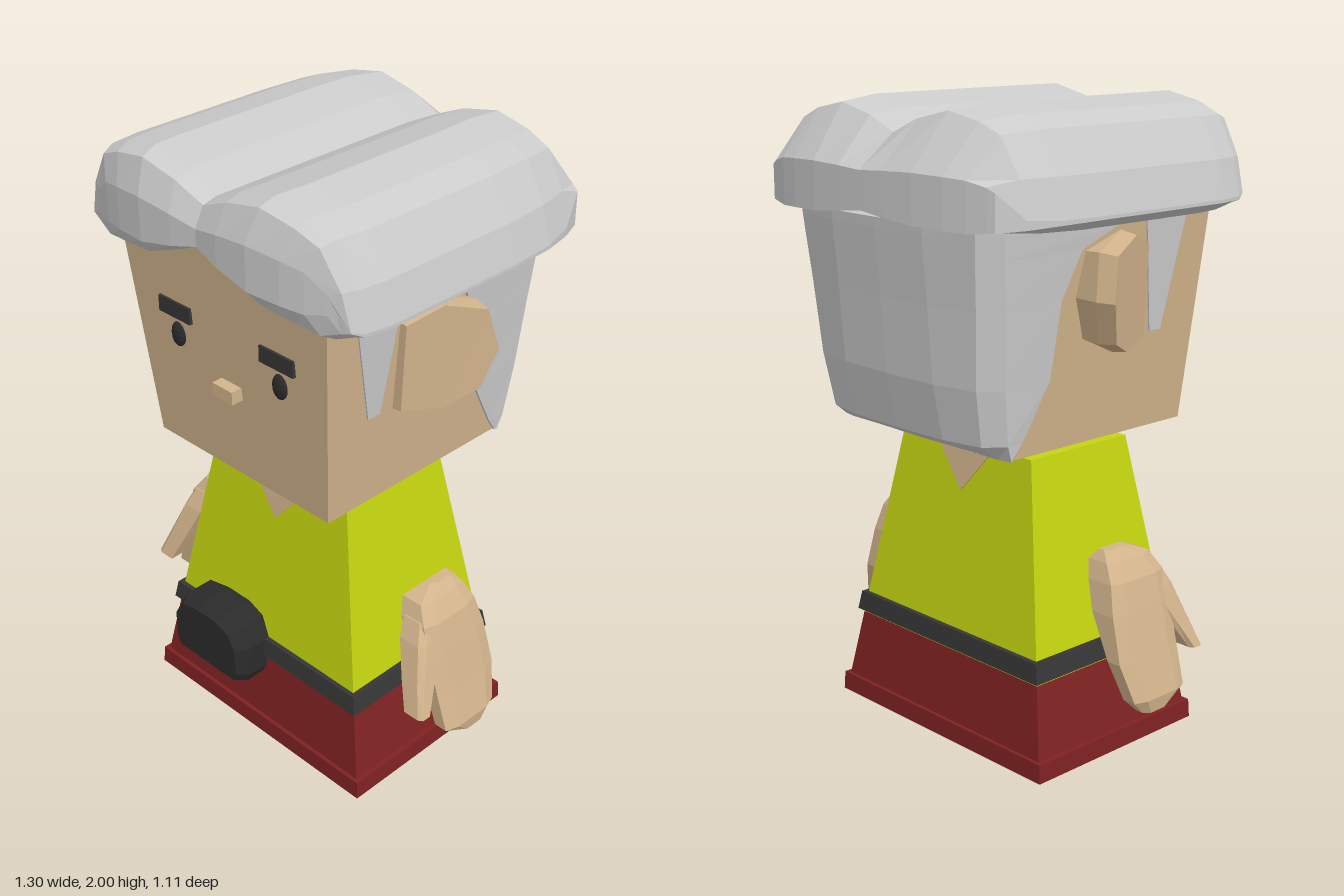
import * as THREE from 'three';

const mat = (name, color, double) => {
  const m = new THREE.MeshStandardMaterial({ color, flatShading: true });
  m.name = name;
  if (double) m.side = THREE.DoubleSide;
  return m;
};

// Solid skin over closed rings of [x, y, z] points; ends are closed by zipping opposite points.
function loft(rings) {
  const n = rings[0].length, tris = [];
  const quad = (a, b, c, d) => tris.push([a, b, c], [a, c, d]);
  for (let k = 0; k + 1 < rings.length; k++) {
    for (let i = 0; i < n; i++) {
      const j = (i + 1) % n;
      quad(rings[k][i], rings[k][j], rings[k + 1][j], rings[k + 1][i]);
    }
  }
  const first = rings[0], last = rings[rings.length - 1];
  for (let i = 0; i < (n - 1) / 2; i++) {
    const j = n - 1 - i;
    quad(first[j], first[j - 1], first[i + 1], first[i]);
    quad(last[i], last[i + 1], last[j - 1], last[j]);
  }
  // Turn the faces outward
  const v = (p) => new THREE.Vector3(...p);
  const volume = tris.reduce((s, [a, b, c]) => s + v(a).dot(v(b).cross(v(c))), 0);
  const g = new THREE.BufferGeometry();
  const pos = tris.flatMap(([a, b, c]) => (volume < 0 ? [a, c, b] : [a, b, c])).flat();
  g.setAttribute('position', new THREE.Float32BufferAttribute(pos, 3));
  g.computeVertexNormals();
  return g;
}

// Tapered box from levels of [y, half width, half depth]
const taper = (levels, cx, cz) => loft(levels.map(([y, w, d]) =>
  [[-w, d], [w, d], [w, -d], [-w, -d]].map(([x, z]) => [cx + x, y, cz + z])));

export function createModel() {
  const model = new THREE.Group();
  const skin = mat('skin', 0xd2b48c), hair = mat('hair', 0xcbcbcb);
  const shirt = mat('shirt', 0xc4d40f), trousers = mat('trousers', 0x7f2222);
  const belt = mat('belt', 0x363636), dark = mat('dark', 0x2b2b2b);
  const add = (name, geometry, material, parent = model) => {
    const m = new THREE.Mesh(geometry, material);
    m.name = name;
    parent.add(m);
    return m;
  };

  // Body: stacked tapered blocks
  const bz = 0.06;
  const bodyX = (y) => 0.465 - 0.185 * y, bodyZ = (y) => 0.336 - 0.137 * y;
  const bodyPart = (y0, y1, grow) => taper([y0, y1].map((y) => [y, bodyX(y) + grow, bodyZ(y) + grow]), 0, bz);
  add('trouserHem', taper([[0, 0.473, 0.343], [0.06, 0.47, 0.34]], 0, bz), trousers);
  add('trousers', bodyPart(0.05, 0.284, 0), trousers);
  add('shirt', bodyPart(0.284, 0.945, 0), shirt);
  add('belt', bodyPart(0.295, 0.357, 0.016), belt);
  // Open neckline showing on front and back
  add('neckline', loft([1, -1].map((s) => [[-0.135, 0.947], [0, 0.79], [0.135, 0.947]]
    .map(([x, y]) => [x, y, bz + s * (bodyZ(y) + 0.004)]))), skin);

  // Belt pouch
  const pouchOutline = (s) => [[-0.167, 0.36], [-0.125, 0.425], [-0.035, 0.442], [0.065, 0.442], [0.13, 0.42],
    [0.167, 0.355], [0.167, 0.25], [0.15, 0.215], [-0.15, 0.215], [-0.167, 0.25]]
    .map(([x, y]) => [x * s - 0.15, 0.33 + (y - 0.33) * s]);
  add('pouch', loft([[0.3, 1], [0.43, 1], [0.475, 0.86]].map(([z, s]) =>
    pouchOutline(s).map(([x, y]) => [x, y, z]))), dark);

  // Arms: levels of [y, front z, back z, inner x, outer x]
  const armLevels = [[0.675, 0.08, -0.01, 0.445, 0.48], [0.645, 0.155, -0.03, 0.42, 0.51],
    [0.59, 0.18, -0.05, 0.44, 0.548], [0.5, 0.185, -0.068, 0.475, 0.575], [0.36, 0.18, -0.075, 0.548, 0.613],
    [0.24, 0.175, -0.045, 0.588, 0.648], [0.195, 0.1, 0.0, 0.602, 0.642]];
  const thumbLevels = [[0.6, 0.18, 0.08, 0.45, 0.53], [0.54, 0.212, 0.1, 0.465, 0.555],
    [0.43, 0.25, 0.17, 0.51, 0.59], [0.335, 0.28, 0.23, 0.552, 0.622]];
  for (const s of [1, -1]) {
    const arm = new THREE.Group();
    arm.name = s > 0 ? 'leftArm' : 'rightArm';
    model.add(arm);
    const limb = (levels) => loft(levels.map(([y, f, b, i, o]) => {
      const q = (f - b) * 0.2, m = o - 0.015;
      return [[i, f], [m, f], [o, f - q], [o, b + q], [m, b], [i, b]].map(([x, z]) => [s * x, y, z]);
    }));
    add('hand', limb(armLevels), skin, arm);
    add('thumb', limb(thumbLevels), skin, arm);
  }

  // Head, set slightly off the centre line
  const head = new THREE.Group();
  head.name = 'head';
  head.position.x = -0.021;
  model.add(head);
  const hz = 0.032, half = (y) => 0.368 + (y - 1) * 0.083;
  add('skull', taper([[1, half(1), half(1)], [1.85, half(1.85), half(1.85)]], 0, hz), skin, head);
  add('nose', new THREE.BoxGeometry(0.085, 0.042, 0.06), skin, head).position.set(0, 1.305, 0.435);

  for (const s of [1, -1]) {
    const side = s > 0 ? 'left' : 'right';
    const eye = add(side + 'Eye', new THREE.SphereGeometry(1, 14, 8), dark, head);
    eye.scale.set(0.029, 0.041, 0.016);
    eye.position.set(s * 0.217, 1.408, 0.436);
    add(side + 'Brow', new THREE.BoxGeometry(0.137, 0.052, 0.02), belt, head).position.set(s * 0.216, 1.493, 0.441);

    // Ear: slab whose outer face swings outward to the back, as [z, y, x]
    const ear = [[0.165, 1.58, 0.44], [0.06, 1.622, 0.485], [-0.07, 1.58, 0.535], [-0.1, 1.45, 0.555],
      [-0.06, 1.325, 0.525], [0.04, 1.28, 0.475], [0.165, 1.3, 0.425]];
    add(side + 'Ear', loft([
      ear.map(([z, y, x]) => [s * x, y, z]),
      ear.map(([z, y, x]) => [s * (x - 0.06), 1.45 + (y - 1.45) * 1.05, z - (z < 0 ? 0.015 : 0)]),
      ear.map(([z, y]) => [s * 0.36, y, z]),
    ]), skin, head);

    // Sideburn plate lying on the slanted cheek
    const burn = [[0.35, 1.68], [0.27, 1.305], [0.222, 1.305], [0.165, 1.68]];
    add(side + 'Sideburn', loft([0.005, -0.003].map((d) =>
      burn.map(([z, y]) => [s * (half(y) + d), y, z]))), hair, head);
  }

  // Back hair: levels of [y, front edge z, back z]
  const backLevels = [[1.0, -0.325, -0.345], [1.05, -0.29, -0.44], [1.22, -0.195, -0.475], [1.45, -0.17, -0.492],
    [1.59, -0.1, -0.505], [1.65, 0.05, -0.51], [1.68, 0.17, -0.512]];
  add('backHair', loft(backLevels.map(([y, f, b]) => {
    const w = half(y) + 0.008, c = Math.min(0.1, (f - b) * 0.6);
    const edge = [[w, f], [w + 0.004, b + c], [w - 0.045, b + c * 0.35], [0.2, b + 0.005]];
    return [...edge.map(([x, z]) => [x, y, z]), [0, y, b], ...edge.reverse().map(([x, z]) => [-x, y, z])];
  })), hair, head);

  // Top hair: two-lobed profile as [x, top y, bottom y], swept front to back
  const profile = [[0, 1.92, 1.79], [0.11, 1.968, 1.735], [0.25, 2.0, 1.678], [0.38, 1.975, 1.665],
    [0.465, 1.94, 1.655], [0.535, 1.82, 1.685], [0.565, 1.705, 1.695]];
  const columns = [...profile.slice(1).reverse().map(([x, t, b]) => [-x, t, b]), ...profile];
  // Stations: [z, width scale, top squeeze, bottom level, bottom squeeze, corner rounding]
  const stations = [[0.557, 0.87, 0.4, 1.8, 0.45, 0.07], [0.515, 0.94, 0.9, 1.8, 0.85, 0.04],
    [0.46, 0.97, 1, 1.8, 1, 0.02], [0.35, 1, 1, 1.8, 1, 0], [-0.14, 1, 1, 1.68, 1, 0],
    [-0.3, 0.98, 1, 1.68, 0.8, 0], [-0.435, 0.93, 0.92, 1.68, 0.4, 0.02], [-0.56, 0.87, 0.12, 1.68, 0.2, 0.06]];
  add('topHair', loft(stations.map(([z, w, st, base, sb, round]) => {
    const zAt = (x) => z - Math.sign(z) * round * (Math.abs(x / 0.565) ** 3 + 0.35 * Math.max(0, 1 - Math.abs(x) / 0.2) * (z > 0));
    return [...columns.map(([x, t]) => [x * w, 1.8 + (t - 1.8) * st, zAt(x)]),
      ...columns.map(([x, , b]) => [x * w, base + (b - base) * sb, zAt(x)]).reverse()];
  })), hair, head);

  return model;
}
